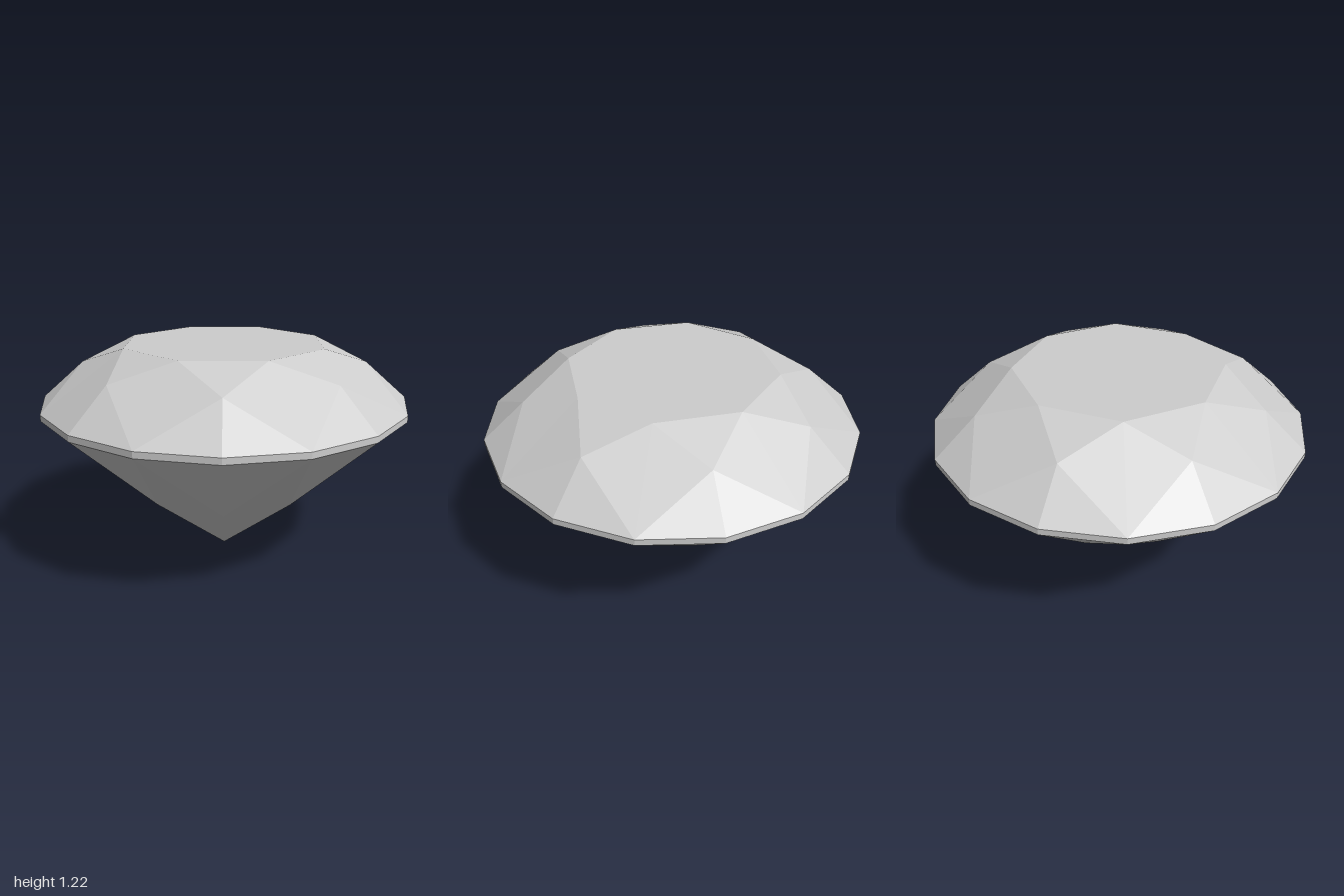
import * as THREE from 'three';

const STEP = Math.PI / 8; // sixteen corners round the girdle
const TURN = THREE.MathUtils.degToRad(6.4);

// Corner k of a ring of the given radius and height
const ring = (radius, y) => (k) => {
  const a = TURN + k * STEP;
  return [radius * Math.sin(a), y, radius * Math.cos(a)];
};

const tableRing = ring(0.56, 1.215);
const crownRing = ring(0.78, 1.105);
const girdleTop = ring(1.006, 0.908);
const girdleBottom = ring(1.006, 0.875);
const pavilionRing = ring(0.5, 0.402);
const culet = [0, 0, 0];

// Builds a faceted mesh from convex polygons listed counterclockwise
function facets(name, material, polygons) {
  const positions = [];
  for (const p of polygons) {
    for (let i = 1; i < p.length - 1; i++) positions.push(...p[0], ...p[i], ...p[i + 1]);
  }
  const geometry = new THREE.BufferGeometry();
  geometry.setAttribute('position', new THREE.Float32BufferAttribute(positions, 3));
  geometry.computeVertexNormals();
  const mesh = new THREE.Mesh(geometry, material);
  mesh.name = name;
  return mesh;
}

export function createModel() {
  const gem = new THREE.Group();
  gem.name = 'cutGem';
  const stone = new THREE.MeshStandardMaterial({ color: 0xcccccc });
  stone.name = 'paleGreyStone';

  const table = [[]];
  const stars = [], crownMains = [], upperHalves = [], girdle = [];
  const lowerHalves = [], pavilionMains = [];

  // Eightfold repeat: mains sit on even corners, stars and halves on odd ones
  for (let k = 0; k < 16; k += 2) {
    table[0].push(tableRing(k));
    stars.push([crownRing(k + 1), tableRing(k + 2), tableRing(k)]);
    crownMains.push([girdleTop(k), crownRing(k + 1), tableRing(k), crownRing(k - 1)]);
    pavilionMains.push([culet, pavilionRing(k + 1), girdleBottom(k), pavilionRing(k - 1)]);
    for (const j of [k, k + 1]) {
      upperHalves.push([girdleTop(j), girdleTop(j + 1), crownRing(k + 1)]);
      girdle.push([girdleBottom(j), girdleBottom(j + 1), girdleTop(j + 1), girdleTop(j)]);
      lowerHalves.push([pavilionRing(k + 1), girdleBottom(j + 1), girdleBottom(j)]);
    }
  }

  gem.add(
    facets('table', stone, table),
    facets('starFacets', stone, stars),
    facets('crownMainFacets', stone, crownMains),
    facets('upperGirdleFacets', stone, upperHalves),
    facets('girdle', stone, girdle),
    facets('lowerGirdleFacets', stone, lowerHalves),
    facets('pavilionMainFacets', stone, pavilionMains),
  );
  return gem;
}
